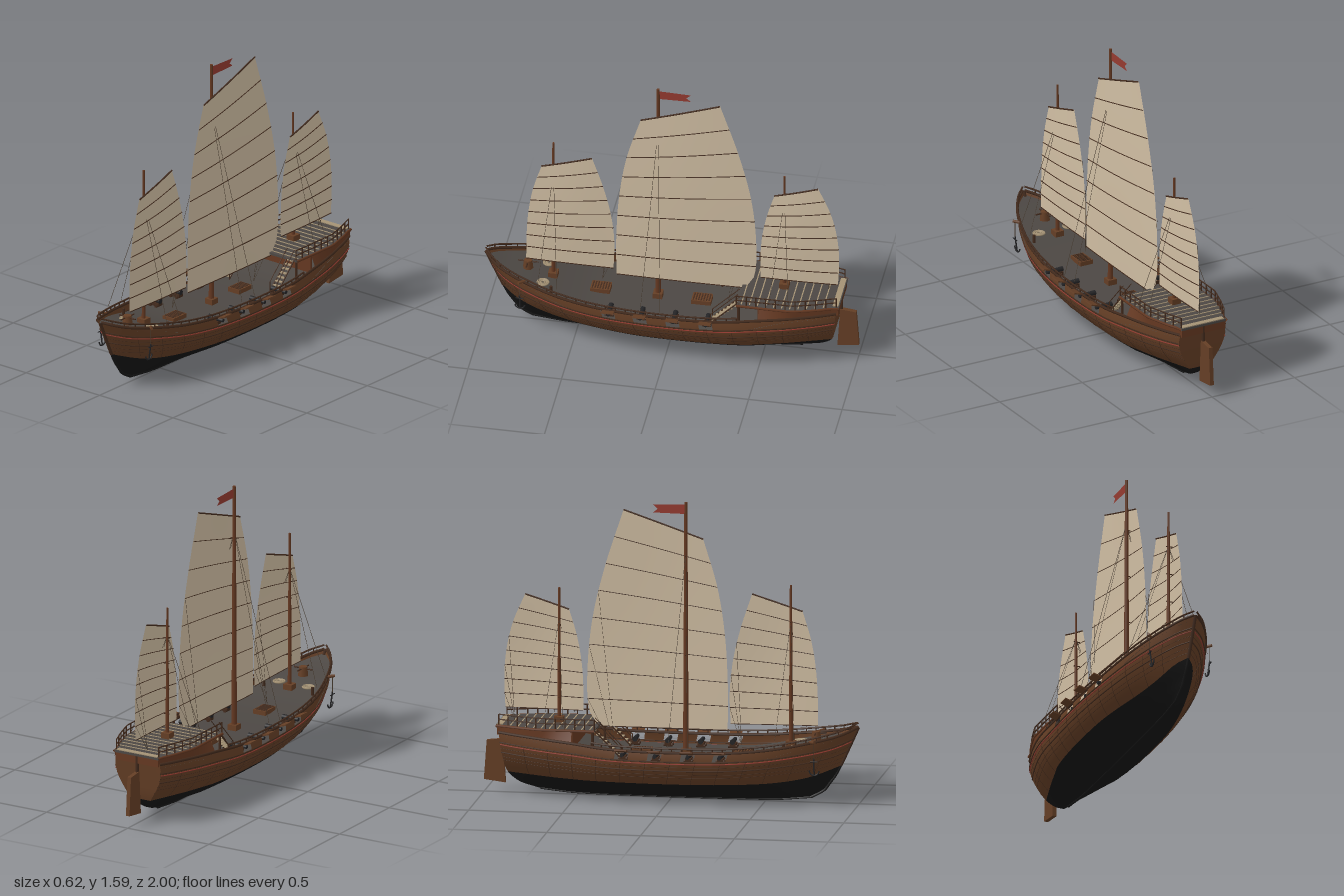
import * as THREE from 'three';

const mat = (name, color, side = THREE.FrontSide) => Object.assign(new THREE.MeshStandardMaterial({ color, side }), { name });
const V = (x, y, z) => new THREE.Vector3(x, y, z);
const { lerp, smoothstep } = THREE.MathUtils;

// Smooth interpolation through [x, y] points
function curve(pts) {
  const n = pts.length - 1;
  const slope = i => {
    const a = pts[Math.max(i - 1, 0)], b = pts[Math.min(i + 1, n)];
    return (b[1] - a[1]) / (b[0] - a[0]);
  };
  return x => {
    let i = 0;
    while (i < n - 1 && x > pts[i + 1][0]) i++;
    const [x0, y0] = pts[i], [x1, y1] = pts[i + 1], h = x1 - x0;
    const t = Math.min(Math.max((x - x0) / h, 0), 1), t2 = t * t, t3 = t2 * t;
    return (2 * t3 - 3 * t2 + 1) * y0 + (t3 - 2 * t2 + t) * h * slope(i) + (3 * t2 - 2 * t3) * y1 + (t3 - t2) * h * slope(i + 1);
  };
}
const even = values => curve(values.map((v, i) => [i / (values.length - 1), v]));

// Grid surface from a point rule; cells may be left open
function surface(f, nu, nv, skip = () => false) {
  const pos = [], idx = [], w = nv + 1;
  for (let i = 0; i <= nu; i++) for (let j = 0; j <= nv; j++) pos.push(...f(i, j).toArray());
  for (let i = 0; i < nu; i++) for (let j = 0; j < nv; j++) {
    if (skip(i, j)) continue;
    const a = i * w + j, b = a + w;
    idx.push(a, b, a + 1, b, b + 1, a + 1);
  }
  const g = new THREE.BufferGeometry();
  g.setAttribute('position', new THREE.Float32BufferAttribute(pos, 3));
  g.setIndex(idx);
  g.computeVertexNormals();
  return g;
}

// Hull lines: s runs stern to bow, v runs keel to gunwale
const halfWidth = curve([[0, .14], [.05, .175], [.155, .227], [.26, .255], [.37, .27], [.475, .274], [.58, .268], [.69, .25], [.795, .213], [.9, .145], [.955, .09], [.98, .052], [1, .006]]);
const sheer = curve([[0, .35], [.2, .325], [.32, .302], [.48, .296], [.64, .3], [.75, .315], [.85, .342], [.95, .38], [1, .415]]);
const keelY = curve([[0, .03], [.15, .012], [.85, .012], [1, .03]]);
const bowZ = curve([[0, .74], [.1, .81], [.2, .84], [.35, .88], [1, .995]]);
const sternZ = curve([[0, -.7], [.1, -.8], [.3, -.865], [.5, -.88], [1, -.9]]);
const paintY = curve([[0, .125], [.2, .116], [.75, .118], [.9, .145], [1, .205]]);
const sAt = z => (z + .893) / 1.867;
function hullPoint(side, s, v, out = 0) {
  const e = .75 + .25 * Math.max(0, (s - .6) / .4) + .45 * Math.max(0, 1 - s / .25);
  const tuck = v > .88 ? 1 - .04 * (v - .88) / .12 : 1;
  const f = Math.sin(Math.PI / 2 * Math.min(v / .88, 1) ** e) * tuck;
  return V(side * (halfWidth(s) * f + out), lerp(keelY(s), sheer(s), v), lerp(sternZ(v), bowZ(v), s));
}
const paintV = s => (paintY(s) - keelY(s)) / (sheer(s) - keelY(s));
const deckV = s => .8 + .14 * (smoothstep(s, .68, .9) + 1 - smoothstep(s, .12, .3));
const deckY = z => hullPoint(1, sAt(z), deckV(sAt(z))).y;
const PORTS = [-.225, -.05, .125, .295], PORT_HALF = .036;

export function createModel() {
  const model = new THREE.Group();
  model.name = 'sailingJunk';
  const D = THREE.DoubleSide;
  const hullWood = mat('hullWood', 0x643e25, D), tar = mat('tar', 0x151515, D), deckGrey = mat('deckGrey', 0x4c4743, D);
  const canvas = mat('canvas', 0xcfbda2, D), darkWood = mat('darkWood', 0x432b1d), redWood = mat('redWood', 0x643821, D);
  const red = mat('red', 0x943a30, D), tan = mat('paleWood', 0xa49274), iron = mat('iron', 0x242426), rope = mat('rope', 0x4a3d30);

  const add = (name, geo, m, p = V(0, 0, 0)) => {
    const o = new THREE.Mesh(geo, m);
    o.name = name; o.position.copy(p); model.add(o);
    return o;
  };
  const box = (name, m, w, h, d, x, y, z) => add(name, new THREE.BoxGeometry(w, h, d), m, V(x, y, z));
  const bar = (name, m, a, b, r0, r1 = r0, sides = 6) => {
    const d = b.clone().sub(a);
    const o = add(name, new THREE.CylinderGeometry(r1, r0, d.length(), sides), m, a.clone().lerp(b, .5));
    o.quaternion.setFromUnitVectors(V(0, 1, 0), d.normalize());
    return o;
  };
  const tube = (name, m, n, f, r) => {
    const pts = Array.from({ length: n + 1 }, (_, i) => f(i / n));
    return add(name, new THREE.TubeGeometry(new THREE.CatmullRomCurve3(pts), n * 2, r, 5), m);
  };

  // Hull shell with open gun ports
  const cols = Array.from({ length: 49 }, (_, i) => i / 48);
  PORTS.forEach(z => cols.push(sAt(z - PORT_HALF), sAt(z + PORT_HALF)));
  cols.sort((a, b) => a - b);
  const upperRow = (s, j) => j < 6 ? lerp(paintV(s), .83, j / 5) : [.97, 1][j - 6];
  const isPort = (i, j) => j === 5 && PORTS.some(z => Math.abs((cols[i] + cols[i + 1]) / 2 - sAt(z)) < PORT_HALF / 1.867);
  for (const side of [1, -1]) {
    add('hullBottom', surface((i, j) => hullPoint(side, cols[i], paintV(cols[i]) * j / 8), cols.length - 1, 8), tar);
    add('hullSide', surface((i, j) => hullPoint(side, cols[i], upperRow(cols[i], j)), cols.length - 1, 7, isPort), hullWood);
    // Wales, red stripe and gunwale
    for (const v of [.66, .835]) tube('wale', darkWood, 40, t => hullPoint(side, t, v, .001), .0035);
    for (const v of [.52, .58, .73]) tube('plankSeam', darkWood, 40, t => hullPoint(side, t, v), .0012);
    tube('redStripe', red, 40, t => hullPoint(side, t, .795, .001), .003);
    tube('gunwale', darkWood, 40, t => hullPoint(side, t, 1), .008);
    for (let i = 1; i < 14; i++) {
      const s = i / 14;
      tube('hullRib', darkWood, 6, t => hullPoint(side, s, lerp(paintV(s), .82, t)), .0015);
    }
    // Open top rail on posts
    const railPoint = s => hullPoint(side, s, 1).add(V(0, .022, 0));
    tube('topRail', darkWood, 30, t => railPoint(lerp(.27, 1, t)), .005);
    for (let i = 0; i < 26; i++) {
      const s = lerp(.27, .98, i / 25);
      bar('railPost', darkWood, hullPoint(side, s, 1), railPoint(s), .0035);
    }
  }
  const transom = (v0, v1) => surface((i, j) => {
    const p = hullPoint(1, 0, lerp(v0, v1, j / 6));
    p.x *= i / 4 - 1;
    return p;
  }, 8, 6);
  add('transomBottom', transom(0, paintV(0)), tar);
  add('transom', transom(paintV(0), 1), hullWood);
  tube('stem', darkWood, 12, t => hullPoint(0, 1, lerp(paintV(1), 1, t)), .01);
  tube('forefoot', tar, 8, t => hullPoint(0, 1, lerp(0, paintV(1), t)), .008);
  tube('keel', tar, 24, t => hullPoint(0, t, 0), .006);
  add('mainDeck', surface((i, j) => {
    const p = hullPoint(1, i / 48, deckV(i / 48));
    p.x *= j - 1;
    return p;
  }, 48, 2), deckGrey);

  // Stern cabin and raised deck
  const POOP = .39, STERN = -.915, poopHalf = z => Math.min(.205, halfWidth(sAt(z)) - .006);
  const outline = new THREE.Shape();
  const zs = Array.from({ length: 13 }, (_, i) => lerp(-.38, STERN, i / 12));
  [...zs.map(z => [poopHalf(z), z]), ...zs.slice().reverse().map(z => [-poopHalf(z), z])]
    .forEach(([x, z], i) => i ? outline.lineTo(x, -z) : outline.moveTo(x, -z));
  add('poopDeck', new THREE.ExtrudeGeometry(outline, { depth: .012, bevelEnabled: false }).rotateX(-Math.PI / 2), deckGrey, V(0, POOP - .012, 0));
  for (const side of [1, -1]) {
    add('cabinSide', surface((i, j) => {
      const t = i / 12, z = lerp(-.5, j ? STERN : -.9, t);
      return V(side * (j ? poopHalf(z) : halfWidth(sAt(z)) * .965), j ? POOP - .006 : sheer(sAt(z)) - .005, z);
    }, 12, 1), redWood);
    const edge = (z, y) => V(side * (poopHalf(z) - .004), y, z);
    tube('poopTrim', redWood, 14, t => edge(lerp(-.38, STERN, t), POOP - .006).add(V(side * .005, 0, 0)), .007);
    for (const h of [.028, .055]) tube('poopRail', darkWood, 14, t => edge(lerp(-.38, -.9, t), POOP + h), .0035);
    for (let i = 0; i < 11; i++) {
      const z = lerp(-.38, -.9, i / 10);
      bar('poopRailPost', darkWood, edge(z, POOP), edge(z, POOP + .057), .0035);
    }
    bar('deckPost', darkWood, V(side * .195, deckY(-.39), -.39), V(side * .195, POOP, -.39), .007);
    // Companion stairs
    for (let i = 0; i < 8; i++) box('stairStep', tan, .044, .006, .016, side * .162, lerp(POOP - .01, deckY(-.25) + .012, i / 7), lerp(-.385, -.25, i / 7));
    for (const x of [.138, .186]) {
      bar('stairStringer', darkWood, V(side * x, POOP, -.385), V(side * x, deckY(-.24), -.24), .004);
      bar('stairRail', darkWood, V(side * x, POOP + .055, -.385), V(side * x, deckY(-.24) + .055, -.24), .0025);
      bar('stairRailPost', darkWood, V(side * x, deckY(-.24), -.24), V(side * x, deckY(-.24) + .057, -.24), .0025);
    }
  }
  box('cabinFront', redWood, .41, .1, .012, 0, .335, -.5);
  box('cabinBack', redWood, .262, .05, .014, 0, .362, -.904);
  box('sternPlank', tan, .25, .004, .03, 0, POOP + .002, -.895);
  for (let i = 0; i < 11; i++) {
    const z = -.835 + i * .043;
    box('deckBatten', tan, poopHalf(z) * 1.9, .003, .006, 0, POOP + .001, z);
  }

  // Rudder
  const blade = new THREE.Shape([[.9, .29], [.985, .28], [1, .07], [.885, .055]].map(p => new THREE.Vector2(...p)));
  add('rudder', new THREE.ExtrudeGeometry(blade, { depth: .022, bevelEnabled: false }).rotateY(Math.PI / 2), hullWood, V(-.011, 0, 0));
  bar('rudderStock', darkWood, V(0, .25, -.905), V(0, .38, -.905), .009);

  // Guns, carriages and port lids
  for (const side of [1, -1]) for (const z of PORTS) {
    const y = deckY(z), out = hullPoint(1, sAt(z), .95).x;
    bar('gunBarrel', iron, V(side * .165, y + .033, z), V(side * .262, y + .033, z), .014, .01, 10);
    box('gunCarriage', darkWood, .065, .018, .032, side * .2, y + .014, z);
    for (const dx of [-.02, .02]) bar('gunAxle', darkWood, V(side * .2 + dx, y + .008, z - .024), V(side * .2 + dx, y + .008, z + .024), .009, .009, 8);
    box('portLid', hullWood, .046, .007, .066, side * (out + .02), .303, z).rotation.z = side * .3;
  }

  // Masts, rigging and battened sails
  const rigs = [
    { name: 'fore', z: .635, top: 1.165, r: .011, yL: [.41, 1.02], yR: [.405, 1.105], apex: .97, foot: [.2, .36],
      left: even([.777, .775, .765, .74, .695]), right: even([.31, .306, .325, .367, .425]) },
    { name: 'main', z: .075, top: 1.59, r: .015, yL: [.37, 1.39], yR: [.37, 1.535], apex: 1.34, foot: [.25, .32],
      left: even([.295, .295, .28, .24, .165]), right: curve([[0, -.39], [.07, -.442], [.25, -.453], [.5, -.425], [.75, -.355], [1, -.26]]) },
    { name: 'mizzen', z: -.6, top: 1.11, r: .01, yL: [.45, .99], yR: [.455, 1.065], apex: .96, foot: [.19, .4],
      left: even([-.475, -.475, -.485, -.51, -.55]), right: even([-.89, -.896, -.885, -.85, -.785]) },
  ];
  for (const k of rigs) {
    const base = k.name === 'mizzen' ? POOP : deckY(k.z);
    bar(k.name + 'Mast', redWood, V(0, base, k.z), V(0, k.top, k.z), k.r, k.r * .55, 10);
    box(k.name + 'MastStep', hullWood, .05, .03, .05, 0, base + .015, k.z);
    const sailPoint = (u, t) => V(.019 + .011 * Math.sin(Math.PI * u) * Math.sin(Math.PI * (.1 + .8 * t)),
      lerp(lerp(k.yL[0], k.yL[1], t), lerp(k.yR[0], k.yR[1], t), u), lerp(k.left(t), k.right(t), u));
    add(k.name + 'Sail', surface((i, j) => sailPoint(i / 12, j / 32), 12, 32), canvas);
    for (let j = 0; j <= 8; j++) {
      const end = j === 8;
      tube(k.name + (end ? 'Yard' : 'Batten'), darkWood, 8, u => sailPoint(u, j / 8).add(V(.001, 0, 0)), end ? .0045 : .0026);
      if (j % 2) bar('mastHoop', darkWood, V(-.012, sailPoint(.3, j / 8).y, k.z), V(.022, sailPoint(.3, j / 8).y, k.z), .003);
    }
    for (const side of [1, -1]) for (const dz of [-.055, .05])
      bar('shroud', rope, V(0, k.apex, k.z), V(side * k.foot[0], k.foot[1], k.z + dz), .0012, .0012, 4);
    for (const t of [.125, .375, .625])
      bar('sheet', rope, sailPoint(1, t).add(V(-.005, 0, 0)), V(-.02, base, lerp(k.z, k.right(0), .8)), .001, .001, 4);
  }

  // Swallowtail pennant
  const flag = new THREE.Shape([[-.075, 1.577], [.1, 1.572], [.075, 1.55], [.1, 1.53], [-.075, 1.527]].map(p => new THREE.Vector2(...p)));
  add('pennant', new THREE.ShapeGeometry(flag).rotateY(Math.PI / 2), red);

  // Deck hatches with gratings
  for (const z of [.38, -.16]) {
    const y = deckY(z);
    box('hatch', hullWood, .075, .024, .105, 0, y + .012, z);
    for (let i = -3; i <= 3; i++) box('hatchSlat', darkWood, .06, .004, .006, 0, y + .025, z + i * .014);
  }

  // Capstan, rope coils, catheads and anchors at the bow
  const cy = deckY(.77);
  add('capstan', new THREE.CylinderGeometry(.022, .028, .05, 8), hullWood, V(0, cy + .025, .77));
  bar('capstanBar', darkWood, V(-.055, cy + .04, .77), V(.055, cy + .04, .77), .004);
  bar('capstanBar', darkWood, V(0, cy + .04, .715), V(0, cy + .04, .825), .004);
  for (const side of [1, -1]) {
    for (const r of [.012, .022, .03]) add('ropeCoil', new THREE.TorusGeometry(r, .005, 5, 16).rotateX(Math.PI / 2), tan, V(side * .09, deckY(.67) + .006, .675));
    bar('bitt', darkWood, V(side * .15, deckY(.62), .62), V(side * .15, deckY(.62) + .045, .62), .008);
    bar('cathead', hullWood, V(side * .15, .355, .76), V(side * .182, .36, .79), .008);
    const x = side * .172, z = .785;
    bar('anchorCable', rope, V(x, .355, z), V(x, .26, z), .0015);
    bar('anchorShank', iron, V(x, .27, z), V(x * .92, .18, z), .004);
    bar('anchorStock', iron, V(x, .255, z - .02), V(x, .255, z + .02), .003);
    const arms = add('anchorArms', new THREE.TorusGeometry(.026, .004, 6, 14, Math.PI), iron, V(x * .92, .206, z));
    arms.rotation.set(Math.PI, Math.PI / 2, 0);
  }
  return model;
}
